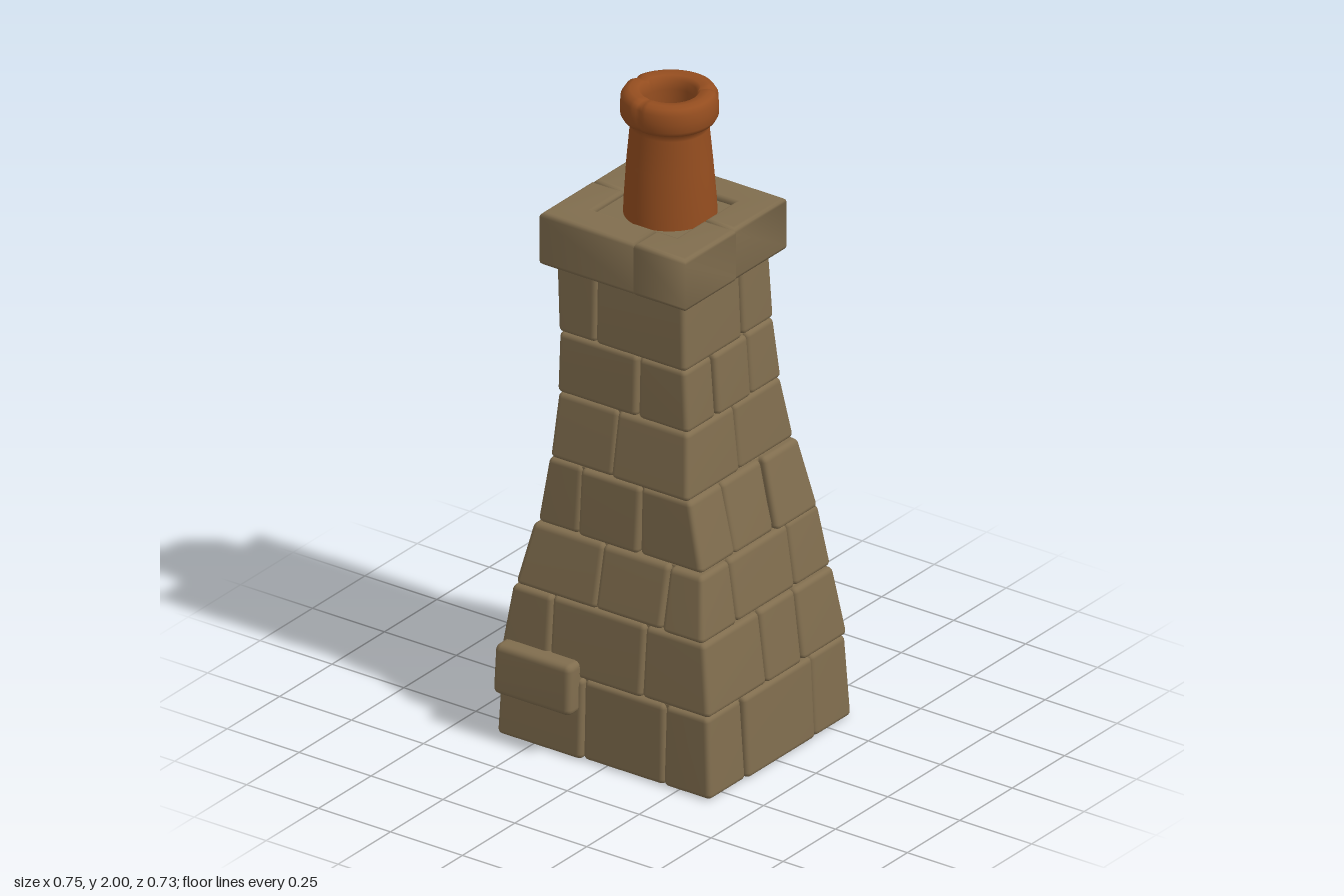
import * as THREE from 'three';
import { mergeVertices } from 'three/addons/utils/BufferGeometryUtils.js';
import { RoundedBoxGeometry } from 'three/addons/geometries/RoundedBoxGeometry.js';

const stone = new THREE.MeshStandardMaterial({ color: 0x806d4e });
stone.name = 'brown stone';
const clay = new THREE.MeshStandardMaterial({ color: 0x944d1f });
clay.name = 'orange clay';

const lerp = THREE.MathUtils.lerp;

// Tower outline at each course line: y, left/right x, back/front z
const levels = [
  [0.00, -0.375, 0.370, -0.360, 0.322],
  [0.25, -0.365, 0.355, -0.352, 0.316],
  [0.47, -0.328, 0.325, -0.322, 0.298],
  [0.66, -0.290, 0.292, -0.302, 0.258],
  [0.87, -0.254, 0.242, -0.268, 0.250],
  [1.07, -0.243, 0.220, -0.230, 0.222],
  [1.26, -0.236, 0.203, -0.212, 0.216],
  [1.47, -0.246, 0.195, -0.205, 0.212],
];
// Vertical joints of each course, across x and across z
const joints = [
  [[-0.08, 0.20], [-0.18, 0.145]],
  [[-0.20, 0.12], [-0.14, 0.03]],
  [[-0.05, 0.18], [-0.15, 0.13]],
  [[-0.14, 0.07], [-0.10, 0.09]],
  [[-0.03], [0.00]],
  [[0.04], [-0.08, 0.08]],
  [[-0.11], [-0.06]],
];

// Small seeded generator for uneven stones
let seed = 7;
function jitter(amount) {
  seed = (seed * 16807) % 2147483647;
  return (seed / 2147483647 - 0.5) * 2 * amount;
}

// Weld the vertices so that bevels shade smoothly
function smooth(geometry) {
  geometry.deleteAttribute('normal');
  geometry.deleteAttribute('uv');
  const welded = mergeVertices(geometry, 1e-5);
  welded.computeVertexNormals();
  return welded;
}

function add(group, name, geometry, material = stone) {
  const mesh = new THREE.Mesh(geometry, material);
  mesh.name = name;
  group.add(mesh);
  return mesh;
}

// Rounded block whose x and z limits change from bottom to top; lo and hi are [x0, x1, z0, z1]
function taperedBlock(lo, hi, y0, y1, radius = 0.016) {
  const w = (lo[1] - lo[0] + hi[1] - hi[0]) / 2;
  const d = (lo[3] - lo[2] + hi[3] - hi[2]) / 2;
  const h = y1 - y0;
  const g = new RoundedBoxGeometry(w, h, d, 2, radius);
  const p = g.attributes.position;
  for (let i = 0; i < p.count; i++) {
    const u = p.getX(i) / w + 0.5, v = p.getY(i) / h + 0.5, t = p.getZ(i) / d + 0.5;
    const [x0, x1, z0, z1] = lo.map((b, k) => lerp(b, hi[k], v));
    p.setXYZ(i, lerp(x0, x1, u), y0 + v * h, lerp(z0, z1, t));
  }
  return smooth(g);
}

function buildCourse(index) {
  const group = new THREE.Group();
  group.name = `stoneCourse${index + 1}`;
  const a = levels[index], b = levels[index + 1];
  const [jx, jz] = joints[index];
  const xLo = [a[1], ...jx, a[2]], xHi = [b[1], ...jx, b[2]];
  const zLo = [a[3], ...jz, a[4]], zHi = [b[3], ...jz, b[4]];
  for (let i = 0; i <= jx.length; i++) {
    for (let k = 0; k <= jz.length; k++) {
      const lo = [xLo[i], xLo[i + 1], zLo[k], zLo[k + 1]];
      const hi = [xHi[i], xHi[i + 1], zHi[k], zHi[k + 1]];
      // Outer faces stand slightly in or out, joints lean a little
      const outer = [i === 0, i === jx.length, k === 0, k === jz.length];
      outer.forEach((isOuter, n) => {
        const shift = isOuter ? jitter(0.006) : 0;
        lo[n] += shift + jitter(0.002);
        hi[n] += shift + jitter(0.002);
      });
      const bottom = index === 0 ? 0 : a[0] + jitter(0.003);
      add(group, 'stoneBlock', taperedBlock(lo, hi, bottom, b[0] + jitter(0.003)));
    }
  }
  // Mortar filling behind the joints
  const inset = (l) => [l[1] + 0.018, l[2] - 0.018, l[3] + 0.018, l[4] - 0.018];
  add(group, 'mortarCore', taperedBlock(inset(a), inset(b), a[0] + 0.015, b[0], 0.004));
  return group;
}

// Four L-shaped corner stones around a square recess
function buildCap() {
  const group = new THREE.Group();
  group.name = 'cap';
  const top = 1.63, bevel = 0.014, height = 0.165;
  const corners = [
    // outer x, outer z, joint x, joint z, inner x, inner z
    [0.226, 0.245, 0.045, 0.005, 0.115, 0.135],
    [-0.284, 0.243, 0.045, -0.008, -0.172, 0.135],
    [-0.282, -0.240, -0.065, -0.008, -0.172, -0.135],
    [0.222, -0.242, -0.065, 0.005, 0.115, -0.135],
  ];
  for (const [X, Z, jx, jz, ix, iz] of corners) {
    const outline = [[jx, Z], [X, Z], [X, jz], [ix, jz], [ix, iz], [jx, iz]];
    const g = new THREE.ExtrudeGeometry(new THREE.Shape(outline.map((q) => new THREE.Vector2(...q))), {
      depth: height - 2 * bevel, bevelThickness: bevel, bevelSize: bevel,
      bevelOffset: -bevel, bevelSegments: 3,
    });
    g.rotateX(Math.PI / 2);
    g.translate(0, top - bevel, 0);
    add(group, 'capStone', smooth(g));
  }
  const slab = add(group, 'recessSlab', new THREE.BoxGeometry(0.31, 0.13, 0.29));
  slab.position.set(-0.028, 1.55, 0);
  return group;
}

// Turned clay pot with a thick rim and a few worn notches
function buildPot() {
  const profile = [
    [0.134, 1.59], [0.131, 1.66], [0.122, 1.78], [0.112, 1.885], [0.114, 1.905],
    [0.132, 1.912], [0.139, 1.925], [0.140, 1.95], [0.138, 1.978], [0.128, 1.994],
    [0.112, 2.0], [0.088, 1.997], [0.077, 1.985], [0.072, 1.96], [0.072, 1.87],
    [0.080, 1.60],
  ].map((q) => new THREE.Vector2(...q));
  const g = new THREE.LatheGeometry(profile, 72);
  const p = g.attributes.position;
  const notches = [-0.12, 2.25, -1.65];
  for (let i = 0; i < p.count; i++) {
    const x = p.getX(i), y = p.getY(i), z = p.getZ(i);
    const r = Math.hypot(x, z), angle = Math.atan2(x, z);
    let dip = 0;
    for (const n of notches) dip += Math.exp(-(((angle - n) / 0.07) ** 2));
    const onRim = y > 1.906 && r > 0.085 ? 1 : 0;
    const s = (r - onRim * dip * 0.007 + 0.0012 * Math.sin(3 * angle + y * 9)) / r;
    p.setXYZ(i, x * s, y - (y > 1.98 ? dip * 0.006 : 0), z * s);
  }
  g.translate(-0.013, 0, -0.008);
  return smooth(g);
}

export function createModel() {
  const model = new THREE.Group();
  model.name = 'chimney';

  // Tapering stone tower
  for (let i = 0; i < joints.length; i++) model.add(buildCourse(i));

  // Loose stone standing proud of the front left foot
  const proud = [-0.362, -0.09, 0.24, 0.367];
  add(model, 'protrudingStone', taperedBlock(proud, [-0.355, -0.092, 0.24, 0.364], 0.145, 0.302, 0.02));

  model.add(buildCap());
  add(model, 'chimneyPot', buildPot(), clay);
  return model;
}
